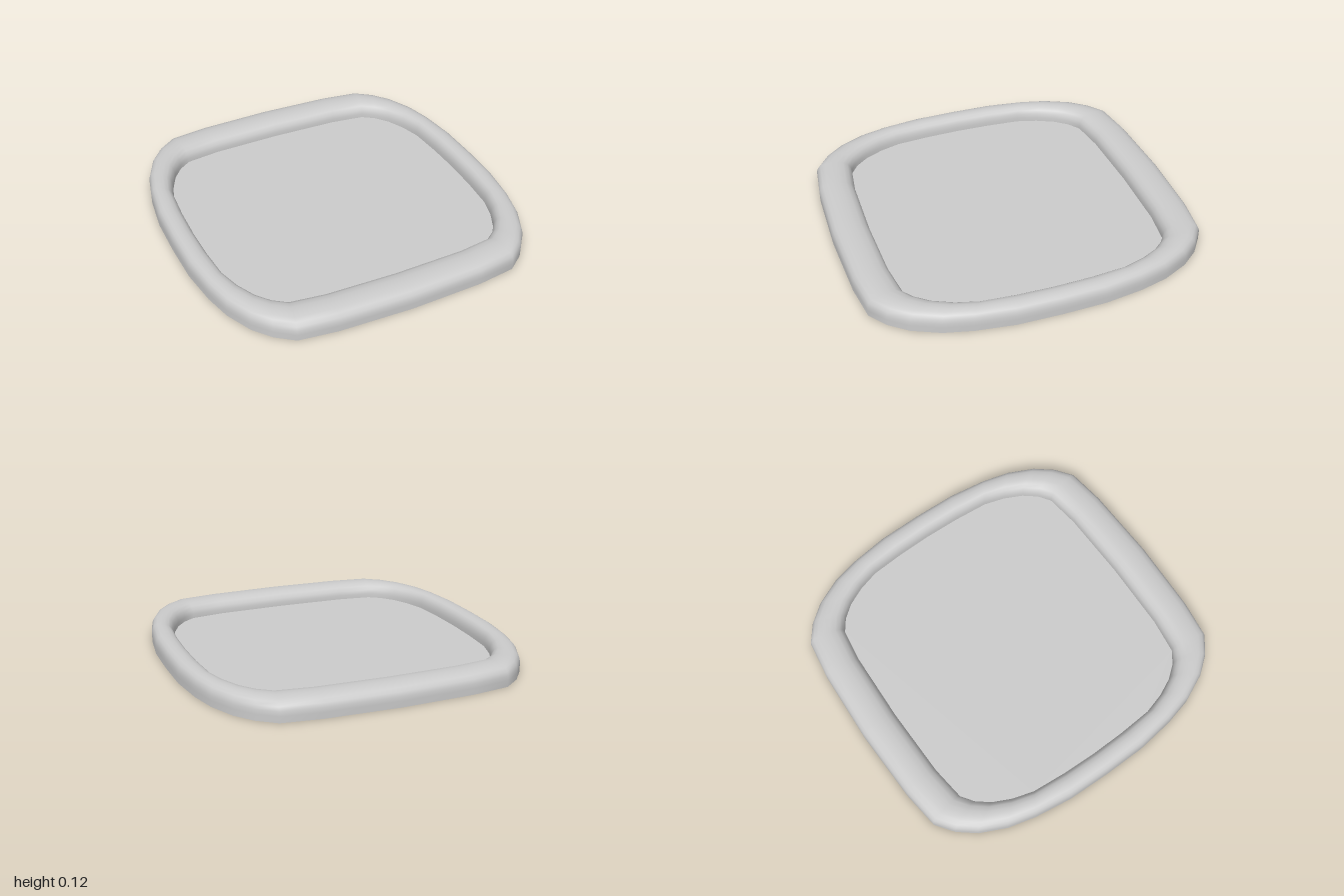
import * as THREE from 'three';

// Quarter outlines as [x, z], running from the middle of the front to the middle of the side
const OUTER = [[0, 1], [0.42, 0.985], [0.64, 0.955], [0.74, 0.88], [0.82, 0.78], [0.89, 0.63], [0.93, 0.47], [0.96, 0.25], [0.965, 0]];
const INNER = [[0, 0.787], [0.4, 0.777], [0.6, 0.75], [0.67, 0.7], [0.73, 0.625], [0.78, 0.52], [0.815, 0.4], [0.83, 0.2], [0.835, 0]];

// Rim section as [way from outer to inner outline, height]
const SECTION = [[0, 0], [0, 0.035], [0, 0.06], [0.04, 0.082], [0.12, 0.1], [0.25, 0.11], [0.42, 0.115],
  [0.6, 0.115], [0.77, 0.109], [0.89, 0.096], [0.97, 0.075], [1, 0.05], [1, 0.025]];

// Mirror a quarter into a closed loop
function fullLoop(quarter) {
  const back = quarter.slice(0, -1).reverse().map(([x, z]) => [x, -z]);
  const half = [...quarter, ...back];
  const left = half.slice(1, -1).reverse().map(([x, z]) => [-x, z]);
  return [...half, ...left];
}

// Open skin over the rim section, swept between the two outlines
function rimGeometry(outer, inner) {
  const n = outer.length;
  const positions = [];
  const index = [];
  SECTION.forEach(([t, y], k) => {
    for (let j = 0; j < n; j++) {
      positions.push(
        THREE.MathUtils.lerp(outer[j][0], inner[j][0], t), y,
        THREE.MathUtils.lerp(outer[j][1], inner[j][1], t));
      if (k === 0) continue;
      const next = (j + 1) % n;
      const a = (k - 1) * n + j, b = (k - 1) * n + next;
      const c = k * n + next, d = k * n + j;
      index.push(a, b, c, a, c, d);
    }
  });
  const geometry = new THREE.BufferGeometry();
  geometry.setAttribute('position', new THREE.Float32BufferAttribute(positions, 3));
  geometry.setIndex(index);
  geometry.computeVertexNormals();
  return geometry;
}

export function createModel() {
  const group = new THREE.Group();
  group.name = 'tray';
  const material = new THREE.MeshStandardMaterial({ color: 0xcccccc, side: THREE.DoubleSide });
  const outer = fullLoop(OUTER);
  const inner = fullLoop(INNER);

  // Rounded hollow rim, open underneath
  const rim = new THREE.Mesh(rimGeometry(outer, inner), material);
  rim.name = 'rim';
  group.add(rim);

  // Thin sunken floor
  const shape = new THREE.Shape(inner.map(([x, z]) => new THREE.Vector2(x, -z)));
  const floorGeometry = new THREE.ShapeGeometry(shape);
  floorGeometry.rotateX(-Math.PI / 2);
  floorGeometry.translate(0, 0.025, 0);
  const floor = new THREE.Mesh(floorGeometry, material);
  floor.name = 'floor';
  group.add(floor);

  return group;
}
